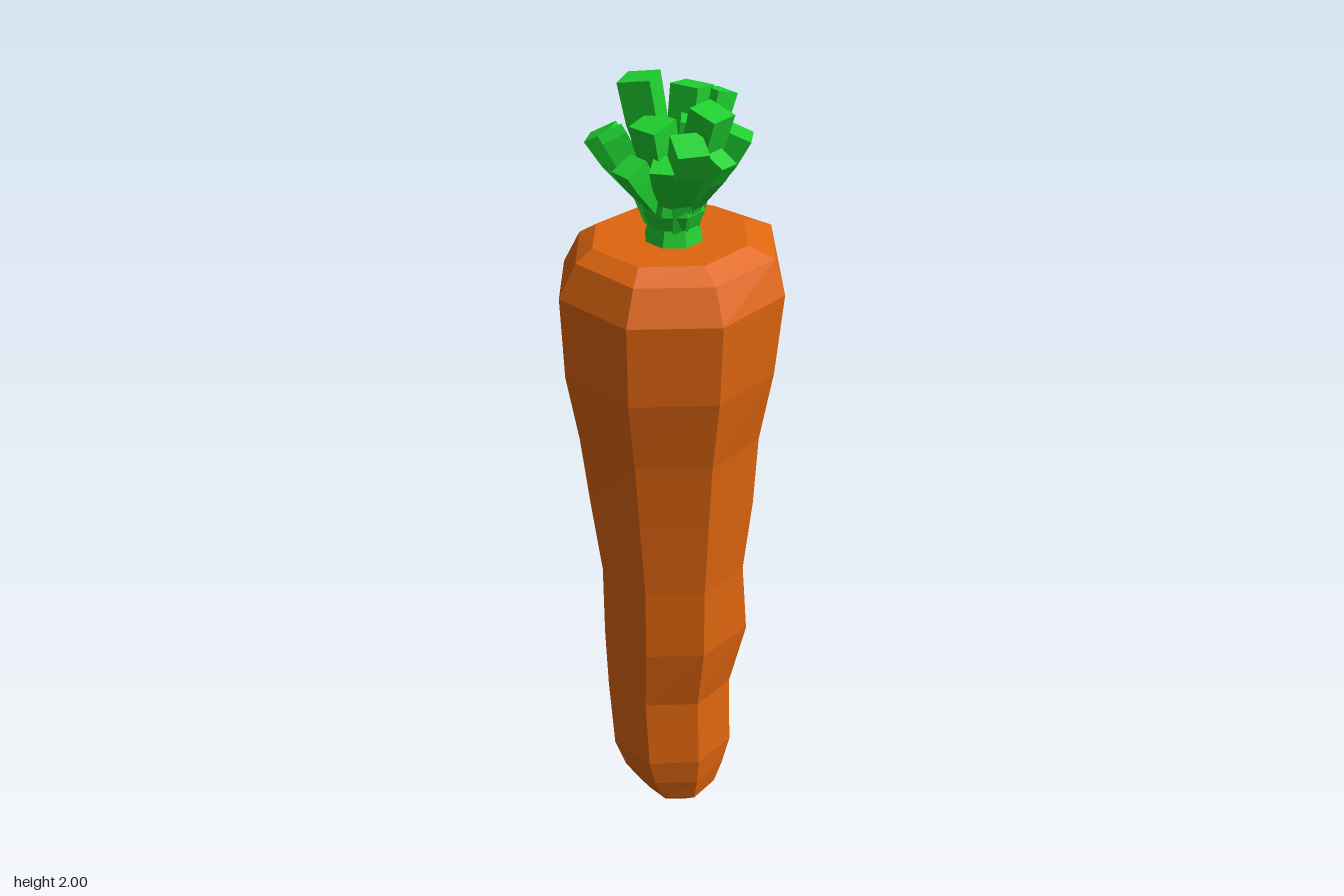
import * as THREE from 'three';

const orange = new THREE.MeshStandardMaterial({ color: 0xe0660f, flatShading: true });
const green = new THREE.MeshStandardMaterial({ color: 0x1fd030, flatShading: true });

// Skins a stack of rings (bottom to top, points turning from +x to +z) and caps both ends
function loft(rings) {
  const n = rings[0].length, pos = rings.flat(2), index = [];
  const last = (rings.length - 1) * n;
  for (let r = 0; r < rings.length - 1; r++) {
    for (let i = 0; i < n; i++) {
      const a = r * n + i, b = r * n + (i + 1) % n;
      index.push(a, a + n, b, b, a + n, b + n);
    }
  }
  for (let i = 1; i < n - 1; i++) {
    index.push(0, i, i + 1, last, last + i + 1, last + i);
  }
  const indexed = new THREE.BufferGeometry();
  indexed.setAttribute('position', new THREE.Float32BufferAttribute(pos, 3));
  indexed.setIndex(index);
  const geometry = indexed.toNonIndexed();
  geometry.computeVertexNormals();
  return geometry;
}

function addMesh(parent, geometry, material, name) {
  const mesh = new THREE.Mesh(geometry, material);
  mesh.name = name;
  parent.add(mesh);
  return mesh;
}

// Eight-sided root ring: height, extents towards -x, +x, +z, -z
function rootRing([y, left, right, front, back]) {
  const cz = (front - back) / 2 - 0.012 * Math.min(1, (left + right) * 2);
  return Array.from({ length: 8 }, (_, i) => {
    const c = Math.cos(i * Math.PI / 4), s = Math.sin(i * Math.PI / 4);
    return [c * (c > 0 ? right : left), y, cz + s * (s > 0 ? front - cz : back + cz)];
  });
}

// Square stalk that bends outwards from the neck and thickens towards its tip
function stalk(x, z, top, width) {
  const reach = Math.hypot(x, z), ux = x / reach, uz = z / reach;
  const section = (t, y, w, tilt) => Array.from({ length: 4 }, (_, i) => {
    const a = Math.PI / 4 + i * Math.PI / 2;
    const u = Math.cos(a) * w * 0.707, v = Math.sin(a) * w * 0.707;
    return [x * t + ux * u - uz * v, y - u * tilt, z * t + uz * u + ux * v];
  });
  const rise = top - 1.68, lean = reach / rise * 0.7;
  return loft([
    section(0.3, 1.68, width * 0.5, 0),
    section(0.42, 1.68 + rise * 0.3, width * 0.6, lean * 0.5),
    section(0.78, 1.68 + rise * 0.7, width * 0.95, lean),
    section(1, top - 0.01, width, lean),
  ]);
}

export function createModel() {
  const model = new THREE.Group();

  // Root, from the blunt tip up to the bevelled shoulder
  const rootProfile = [
    [0, 0.02, 0.02, 0.02, 0.03],
    [0.04, 0.065, 0.07, 0.07, 0.065],
    [0.1, 0.1, 0.105, 0.13, 0.1],
    [0.17, 0.14, 0.13, 0.145, 0.12],
    [0.25, 0.165, 0.155, 0.155, 0.145],
    [0.44, 0.17, 0.157, 0.145, 0.175],
    [0.62, 0.18, 0.2, 0.175, 0.18],
    [0.81, 0.18, 0.18, 0.175, 0.185],
    [1.0, 0.2, 0.205, 0.19, 0.225],
    [1.18, 0.22, 0.21, 0.205, 0.24],
    [1.36, 0.255, 0.235, 0.235, 0.23],
    [1.55, 0.26, 0.257, 0.245, 0.247],
    [1.625, 0.22, 0.24, 0.207, 0.21],
    [1.65, 0.18, 0.175, 0.155, 0.17],
  ];
  addMesh(model, loft(rootProfile.map(rootRing)), orange, 'root');

  // Leafy top
  const leaves = new THREE.Group();
  leaves.name = 'leaves';
  model.add(leaves);

  const neckProfile = [[0, 1.64], [0.068, 1.64], [0.056, 1.685], [0.07, 1.72], [0.065, 1.75], [0, 1.76]]
    .map(([r, y]) => new THREE.Vector2(r, y));
  addMesh(leaves, new THREE.LatheGeometry(neckProfile, 8), green, 'neck');

  // Tip x, tip z, tip height, thickness
  const stalks = [
    [-0.055, -0.05, 2.0, 0.07], [-0.125, -0.092, 1.88, 0.055],
    [-0.127, -0.022, 1.9, 0.05], [-0.115, 0.035, 1.85, 0.05],
    [-0.06, 0.028, 1.93, 0.068], [-0.058, 0.08, 1.86, 0.05],
    [-0.02, 0.12, 1.91, 0.065], [0.042, 0.092, 1.96, 0.065],
    [0.05, 0.12, 1.87, 0.045], [0.112, 0.068, 1.9, 0.06],
    [0.1, 0.012, 1.87, 0.055], [0.04, 0.02, 1.92, 0.06],
    [0.06, -0.042, 1.97, 0.065], [0.122, -0.042, 1.95, 0.055],
    [0.1, -0.1, 1.86, 0.038], [0.048, -0.13, 1.87, 0.035],
    [-0.042, -0.13, 1.83, 0.03],
  ];
  stalks.forEach((s, i) => addMesh(leaves, stalk(...s), green, `stalk${i + 1}`));

  return model;
}
